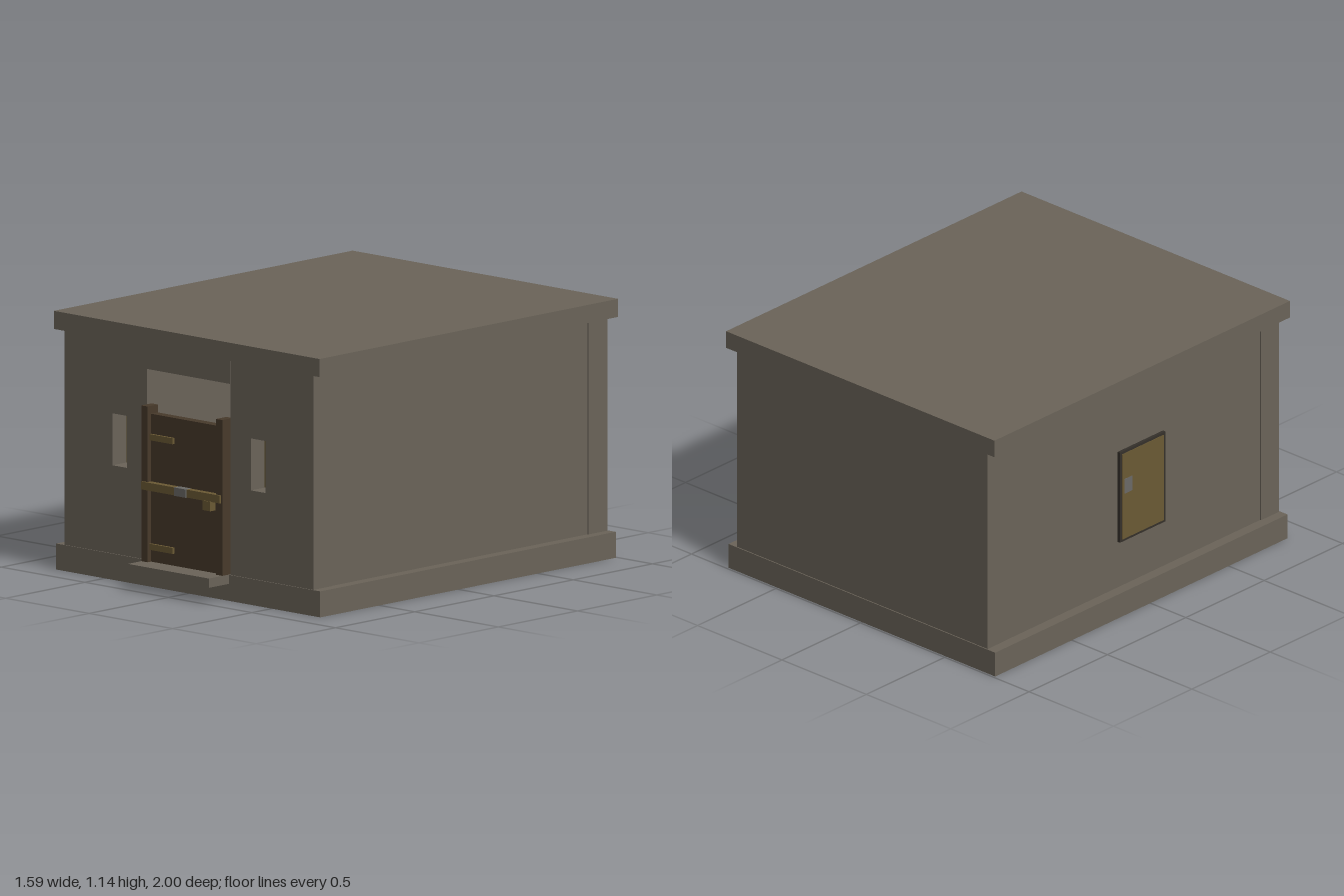
import * as THREE from 'three';

export function createModel() {
  const model = new THREE.Group();
  const mat = (name, color) => {
    const m = new THREE.MeshStandardMaterial({ color });
    m.name = name;
    return m;
  };
  const stone = mat('stone', 0x6b6459);
  const wood = mat('dark wood', 0x483a2b);
  const brass = mat('old brass', 0x6b5a34);
  const steel = mat('steel', 0x6b6a67);
  const iron = mat('dark iron', 0x35312b);

  // Box given by its limits on each axis
  const box = (name, material, [x0, x1], [y0, y1], [z0, z1], parent = model) => {
    const mesh = new THREE.Mesh(new THREE.BoxGeometry(x1 - x0, y1 - y0, z1 - z0), material);
    mesh.position.set((x0 + x1) / 2, (y0 + y1) / 2, (z0 + z1) / 2);
    mesh.name = name;
    parent.add(mesh);
    return mesh;
  };

  // Slabs
  box('plinth', stone, [-0.79, 0.79], [0, 0.115], [-0.99, 0.875]);
  box('roof', stone, [-0.795, 0.795], [1.065, 1.145], [-1, 0.885]);

  // Front wall with a doorway and two slit windows
  const outline = new THREE.Shape();
  [[-0.745, 0.115], [-0.25, 0.115], [-0.25, 0.96], [0.25, 0.96], [0.25, 0.115],
    [0.745, 0.115], [0.745, 1.065], [-0.745, 1.065]]
    .forEach(([x, y], i) => (i ? outline.lineTo(x, y) : outline.moveTo(x, y)));
  outline.closePath();
  for (const side of [-1, 1]) {
    const cx = side * 0.414;
    const slit = new THREE.Path();
    slit.moveTo(cx - 0.043, 0.505);
    slit.lineTo(cx - 0.043, 0.735);
    slit.lineTo(cx + 0.043, 0.735);
    slit.lineTo(cx + 0.043, 0.505);
    slit.closePath();
    outline.holes.push(slit);
    box('windowBar', brass, [cx - 0.008, cx + 0.008], [0.515, 0.727], [0.805, 0.82]);
  }
  const frontWall = new THREE.Mesh(
    new THREE.ExtrudeGeometry(outline, { depth: 0.115, bevelEnabled: false }), stone);
  frontWall.position.z = 0.755;
  frontWall.name = 'frontWall';
  model.add(frontWall);
  box('lintel', stone, [-0.25, 0.25], [0.96, 1.065], [0.76, 0.874]);

  // Remaining walls around the hollow room
  box('backWall', stone, [-0.741, 0.745], [0.115, 1.065], [-0.985, -0.865]);
  for (const side of [-1, 1]) {
    const xs = [side * 0.74, side * 0.62].sort((a, b) => a - b);
    box('sideWall', stone, xs, [0.115, 1.065], [-0.865, 0.755]);
  }

  // Doorstep
  box('doorstep', stone, [-0.243, 0.243], [0.075, 0.116], [0.86, 1]);

  // Door, posts and ironwork
  const door = new THREE.Group();
  door.name = 'door';
  model.add(door);
  box('doorPanel', wood, [-0.206, 0.206], [0.115, 0.77], [0.85, 0.893], door);
  for (const side of [-1, 1]) {
    const xs = [side * 0.205, side * 0.242].sort((a, b) => a - b);
    box('doorPost', wood, xs, [0.115, 0.805], [0.85, 0.915], door);
  }
  for (const y of [0.17, 0.655]) {
    box('hinge', brass, [-0.204, -0.065], [y, y + 0.027], [0.89, 0.905], door);
  }
  box('crossbar', brass, [-0.235, 0.235], [0.436, 0.471], [0.89, 0.924], door);
  box('lockPlate', steel, [-0.035, 0.035], [0.435, 0.472], [0.891, 0.928], door);
  box('latch', brass, [0.135, 0.182], [0.395, 0.437], [0.89, 0.928], door);

  // Framed wall plate on the right side
  const plate = new THREE.Group();
  plate.name = 'wallPlate';
  model.add(plate);
  box('plateFrame', iron, [-0.754, -0.735], [0.335, 0.77], [-0.155, 0.135], plate);
  box('plateFace', brass, [-0.757, -0.753], [0.347, 0.758], [-0.143, 0.123], plate);
  box('plateBoss', steel, [-0.759, -0.756], [0.565, 0.635], [-0.13, -0.08], plate);

  return model;
}
